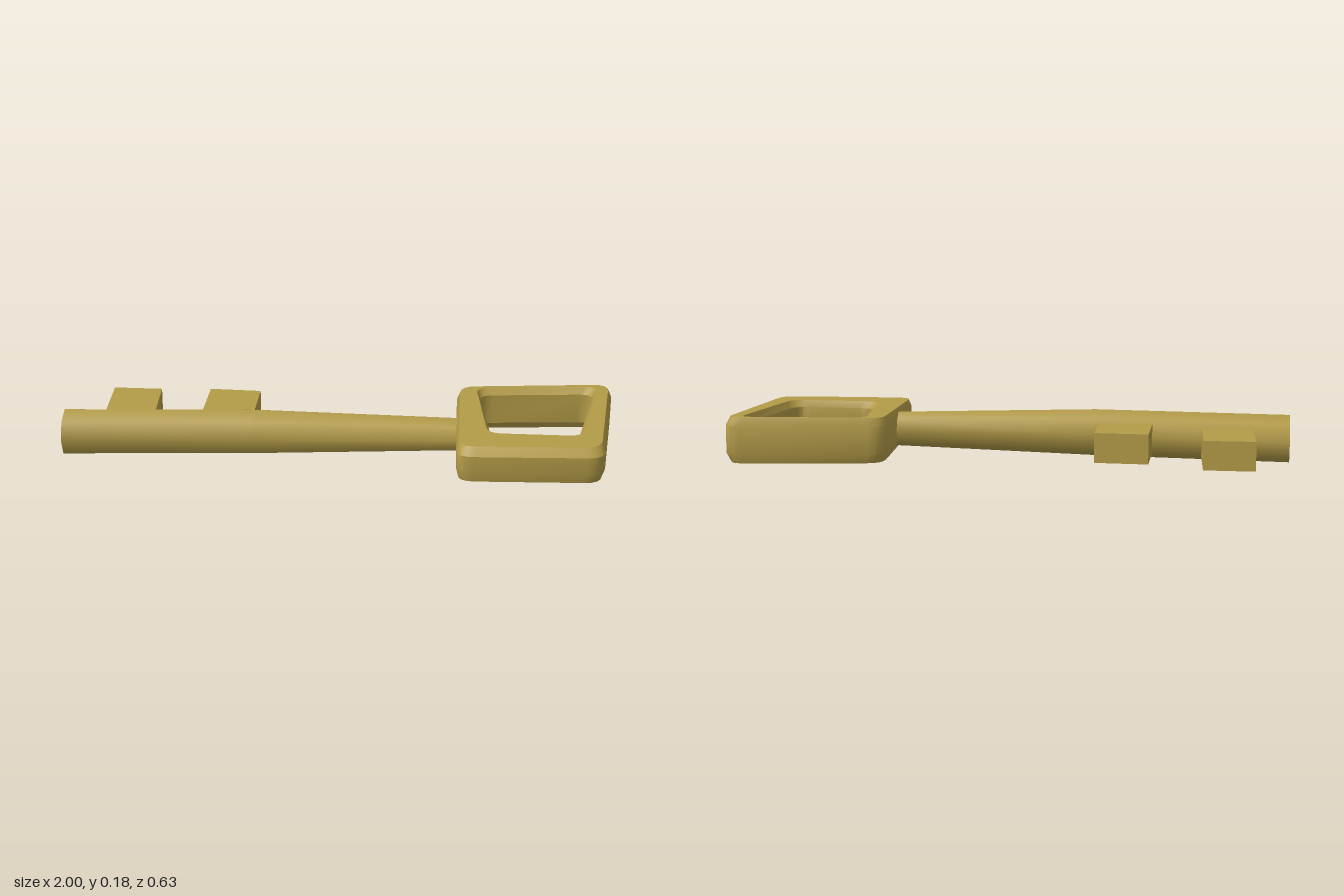
import * as THREE from 'three';
import { toCreasedNormals } from 'three/addons/utils/BufferGeometryUtils.js';

// Skin a list of equal-length rings; either cap both ends or join the last ring to the first
function loft(rings, closed, crease) {
  const n = rings[0].length, pos = [], index = [];
  rings.forEach(r => r.forEach(p => pos.push(...p)));
  const spans = closed ? rings.length : rings.length - 1;
  for (let j = 0; j < spans; j++) {
    const a = j * n, b = ((j + 1) % rings.length) * n;
    for (let i = 0; i < n; i++) {
      const k = (i + 1) % n;
      index.push(a + i, a + k, b + k, a + i, b + k, b + i);
    }
  }
  if (!closed) {
    const e = (rings.length - 1) * n;
    for (let i = 1; i < n - 1; i++) {
      index.push(0, i + 1, i);
      index.push(e, e + i, e + i + 1);
    }
  }
  const g = new THREE.BufferGeometry();
  g.setAttribute('position', new THREE.Float32BufferAttribute(pos, 3));
  g.setIndex(index);
  return toCreasedNormals(g, crease);
}

// Four-cornered outline in x, z with softly rounded corners
function roundedOutline(corners, radius, steps = 4) {
  const pts = corners.map(c => new THREE.Vector2(...c)), out = [];
  pts.forEach((c, i) => {
    const toward = q => q.clone().sub(c).setLength(radius).add(c);
    const curve = new THREE.QuadraticBezierCurve(
      toward(pts[(i + 3) % 4]), c, toward(pts[(i + 1) % 4]));
    out.push(...curve.getPoints(steps));
  });
  return out;
}

export function createModel() {
  const key = new THREE.Group();
  key.name = 'key';
  const brass = new THREE.MeshStandardMaterial({ color: 0xb39b48 });
  brass.name = 'brass';
  const add = (name, geometry) => {
    const mesh = new THREE.Mesh(geometry, brass);
    mesh.name = name;
    key.add(mesh);
  };

  // Shaft: eight-sided, slightly bent and tapering to the bow [x, y, z, radius]
  const shaft = [
    [-1, 0.088, 0.065, 0.087],
    [-0.3, 0.1, 0.04, 0.085],
    [0.46, 0.102, 0.012, 0.062],
  ].map(([x, y, z, r]) => Array.from({ length: 8 }, (_, i) => {
    const a = i * Math.PI / 4;
    return [x, y + r * Math.cos(a), z + r * Math.sin(a)];
  }));
  add('shaft', loft(shaft, false, 0.9));

  // Bow: a lopsided chamfered ring whose underside drops towards the back
  const bottom = z => 0.033 + 0.055 * z;
  const top = z => 0.179 - 0.01 * z;
  const outerWall = [[0.43, 0.315], [0.945, 0.29], [1.004, -0.323], [0.423, -0.262]];
  const outerTop = [[0.437, 0.292], [0.933, 0.265], [0.99, -0.313], [0.435, -0.253]];
  const outerBase = [[0.437, 0.308], [0.935, 0.283], [0.99, -0.313], [0.435, -0.252]];
  const holeRim = [[0.538, 0.17], [0.872, 0.17], [0.947, -0.29], [0.494, -0.247]];
  const holeWall = [[0.552, 0.157], [0.857, 0.157], [0.932, -0.273], [0.506, -0.231]];
  const level = (corners, radius, height) =>
    roundedOutline(corners, radius).map(p => [p.x, height(p.y), p.y]);
  add('bow', loft([
    level(outerBase, 0.06, bottom),
    level(outerWall, 0.06, z => bottom(z) + 0.034),
    level(outerWall, 0.06, z => top(z) - 0.03),
    level(outerTop, 0.06, top),
    level(holeRim, 0.05, top),
    level(holeWall, 0.05, z => top(z) - 0.025),
    level(holeWall, 0.05, z => bottom(z) + 0.025),
    level(holeRim, 0.05, bottom),
  ], true, 0.55));

  // Bits: two slightly skewed blocks reaching from the shaft to the back
  const bit = (name, corners, y0, y1) =>
    add(name, loft([y0, y1].map(y => corners.map(([x, z]) => [x, y, z])), false, 0.5));
  bit('outerBit', [[-0.868, 0.03], [-0.683, 0.03], [-0.7, -0.27], [-0.882, -0.27]], 0.026, 0.13);
  bit('innerBit', [[-0.509, 0.02], [-0.318, 0.02], [-0.318, -0.243], [-0.509, -0.25]], 0.038, 0.144);

  return key;
}
